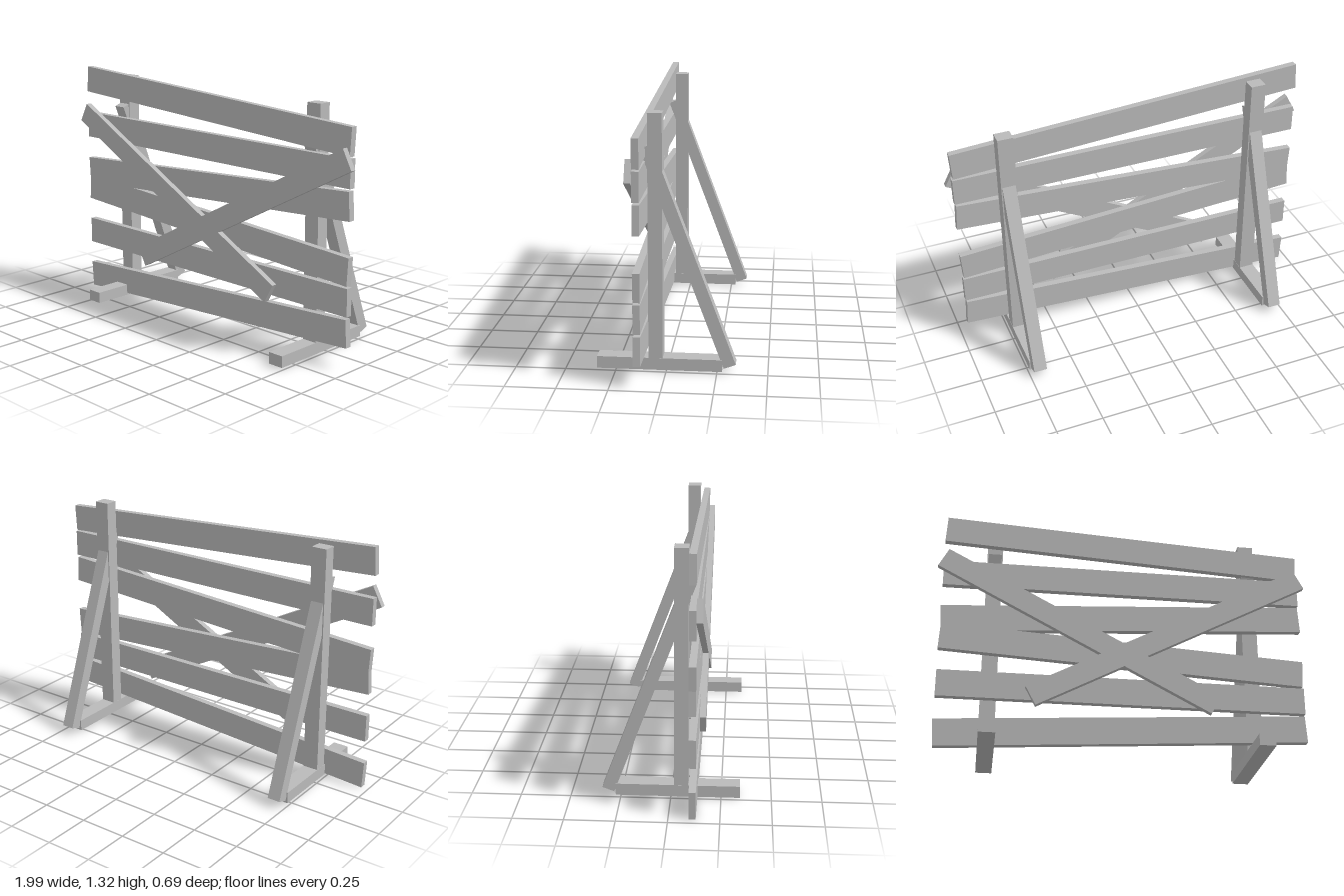
import * as THREE from 'three';

export function createModel() {
  const model = new THREE.Group();
  model.name = 'woodenBarricade';
  const wood = new THREE.MeshStandardMaterial({ color: 0xbababa });
  wood.name = 'grey wood';

  const beam = (name, size, position) => {
    const mesh = new THREE.Mesh(new THREE.BoxGeometry(...size), wood);
    mesh.name = name;
    mesh.position.set(...position);
    model.add(mesh);
    return mesh;
  };

  // Six fence planks: centre height and tilt direction
  const tilt = 0.058;
  const planks = [[1.19, -1], [0.981, 0], [0.767, 1], [0.554, -1], [0.343, 0], [0.128, 1]];
  planks.forEach(([y, dir], i) => {
    beam(`plank${i + 1}`, [1.935, 0.145, 0.035], [0, y, 0.116]).rotation.z = dir * tilt;
  });

  for (const side of [1, -1]) {
    const label = side > 0 ? 'left' : 'right';
    const x = side * 0.698;

    // Diagonal board across the front
    beam(`${label}CrossBoard`, [1.646, 0.115, 0.031], [side * 0.243, 0.67, 0.149])
      .rotation.z = side * 0.487;

    // Upright post and floor foot
    beam(`${label}Post`, [0.083, 1.278, 0.07], [x, 0.646, 0.052]);
    beam(`${label}Foot`, [0.085, 0.061, 0.619], [x, 0.037, 0.034]);

    // Slanted rear brace, running from the foot up through the post
    const low = new THREE.Vector2(-0.313, 0.032);
    const high = new THREE.Vector2(0.096, 1.124);
    const run = high.clone().sub(low);
    const mid = low.clone().add(high).multiplyScalar(0.5);
    beam(`${label}Brace`, [0.07, run.length(), 0.063], [x, mid.y, mid.x])
      .rotation.x = Math.atan2(run.x, run.y);
  }
  return model;
}
